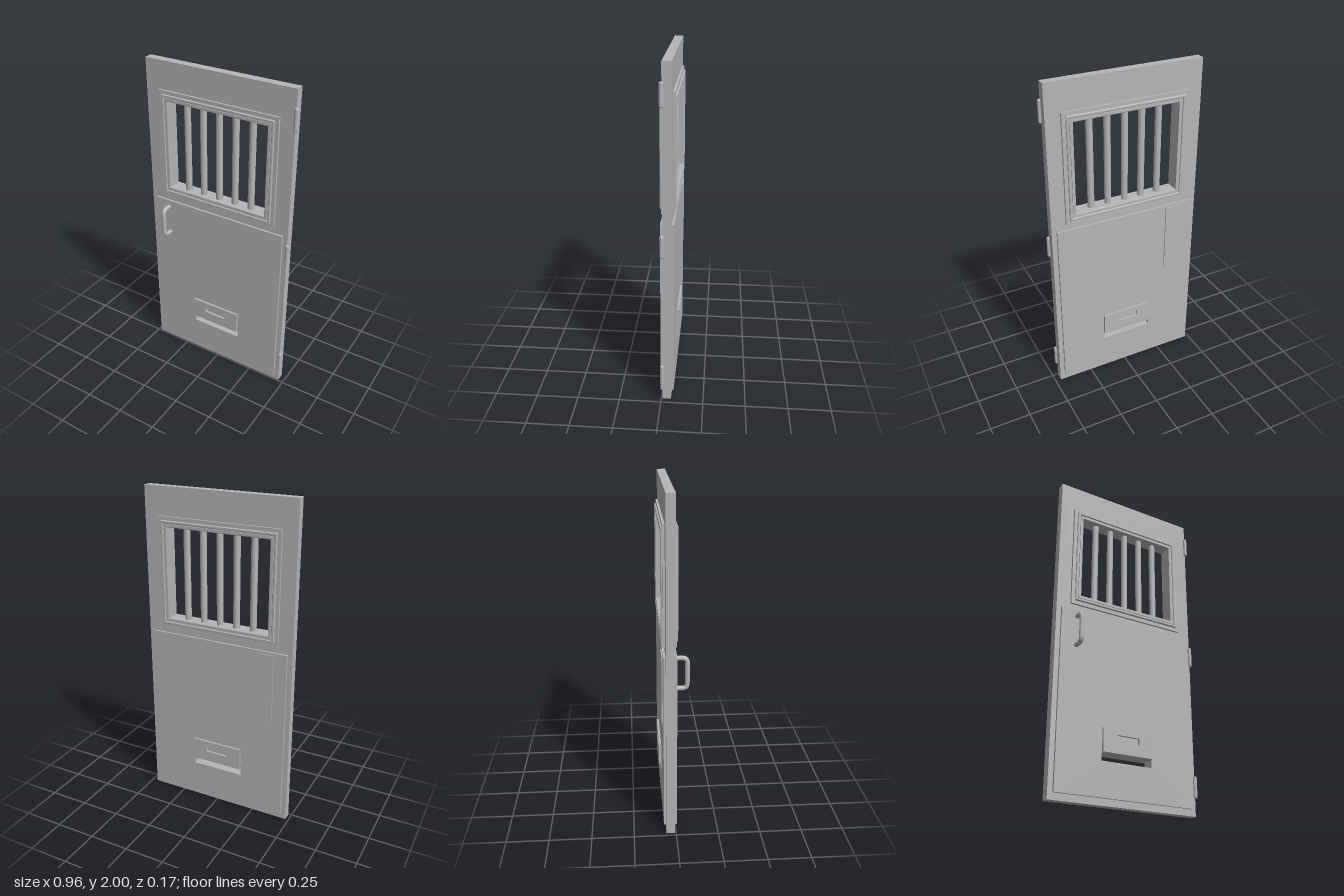
import * as THREE from 'three';

const steel = new THREE.MeshStandardMaterial({ color: 0xb4b5b6 });
steel.name = 'grey steel';

const MID_Z = -0.0325;        // middle of the door's thickness
const HALF = 0.0255;          // half thickness of the door leaf
const PLATE = 0.013;          // thickness of the applied plates
const WINDOW = { x0: -0.331, x1: 0.317, y0: 1.22, y1: 1.772 };
const SLOT = { x0: -0.17, x1: 0.157, y0: 0.242, y1: 0.29 };

function trace(path, { x0, x1, y0, y1 }) {
  path.moveTo(x0, y0);
  path.lineTo(x1, y0);
  path.lineTo(x1, y1);
  path.lineTo(x0, y1);
  path.closePath();
  return path;
}

// Flat plate with cut-outs, running from z0 to z1
function plate(name, rect, holes, z0, z1) {
  const shape = trace(new THREE.Shape(), rect);
  shape.holes.push(...holes);
  const geo = new THREE.ExtrudeGeometry(shape, { depth: z1 - z0, bevelEnabled: false, curveSegments: 6 });
  geo.translate(0, 0, z0);
  return named(name, geo);
}

function named(name, geo) {
  const mesh = new THREE.Mesh(geo, steel);
  mesh.name = name;
  return mesh;
}

const hole = (rect) => trace(new THREE.Path(), rect);

// Mitred rectangular moulding; profile points are [inset from outer edge, z]
function moulding({ x0, x1, y0, y1 }, profile) {
  const pos = [];
  const corners = ([d, z]) => [
    [x0 + d, y0 + d, z], [x1 - d, y0 + d, z], [x1 - d, y1 - d, z], [x0 + d, y1 - d, z],
  ];
  for (let p = 0; p < profile.length - 1; p++) {
    const a = corners(profile[p]);
    const b = corners(profile[p + 1]);
    for (let i = 0; i < 4; i++) {
      const j = (i + 1) % 4;
      pos.push(...a[i], ...a[j], ...b[j], ...a[i], ...b[j], ...b[i]);
    }
  }
  const geo = new THREE.BufferGeometry();
  geo.setAttribute('position', new THREE.Float32BufferAttribute(pos, 3));
  geo.computeVertexNormals();
  return geo;
}

// Rounded finger slot in the hatch
function fingerSlot(x0, x1, y0, y1, r) {
  const p = new THREE.Path();
  p.absarc(x1 - r, y0 + r, r, -Math.PI / 2, 0);
  p.absarc(x1 - r, y1 - r, r, 0, Math.PI / 2);
  p.absarc(x0 + r, y1 - r, r, Math.PI / 2, Math.PI);
  p.absarc(x0 + r, y0 + r, r, Math.PI, Math.PI * 1.5);
  p.closePath();
  return p;
}

// Everything that appears on both faces of the door, for side = 1 (front) or -1 (back)
function facing(side) {
  const group = new THREE.Group();
  group.name = side > 0 ? 'frontFacing' : 'backFacing';
  const span = (base, depth) => {
    const near = MID_Z + side * base;
    const far = MID_Z + side * (base + depth);
    return [Math.min(near, far), Math.max(near, far)];
  };
  group.add(plate('lowerPanel', { x0: -0.45, x1: 0.436, y0: 0.04, y1: 1.12 },
    [hole(SLOT)], ...span(HALF, PLATE)));
  group.add(plate('windowSurround', { x0: -0.392, x1: 0.378, y0: 1.158, y1: 1.832 },
    [hole(WINDOW)], ...span(HALF, PLATE)));
  group.add(plate('hatch', { x0: -0.168, x1: 0.155, y0: 0.29, y1: 0.43 },
    [fingerSlot(-0.078, 0.066, 0.358, 0.397, 0.008)], ...span(HALF + PLATE, 0.0135)));

  // Stepped window moulding with a groove
  const profile = [
    [0, 0.036], [0, 0.043], [0.004, 0.048], [0.013, 0.048], [0.016, 0.045], [0.016, 0.04],
    [0.021, 0.04], [0.021, 0.045], [0.036, 0.045], [0.039, 0.043], [0.039, 0.036],
  ];
  const frame = named('windowMoulding',
    moulding({ x0: -0.363, x1: 0.363, y0: 1.181, y1: 1.811 }, profile));
  frame.position.set(-0.007, 0, MID_Z);
  if (side < 0) frame.rotation.y = Math.PI;
  group.add(frame);
  return group;
}

export function createModel() {
  const model = new THREE.Group();
  model.name = 'barredDoor';

  // Door leaf with window and tray slot cut through
  model.add(plate('doorLeaf', { x0: -0.48, x1: 0.466, y0: 0, y1: 2 },
    [hole(WINDOW), hole(SLOT)], MID_Z - HALF, MID_Z + HALF));
  model.add(facing(1), facing(-1));

  // Solid lintel of the tray slot between the two hatches is the leaf itself; bars fill the window
  for (let i = 0; i < 5; i++) {
    const bar = named('windowBar', new THREE.CylinderGeometry(0.02, 0.02, 0.57, 16));
    bar.position.set(-0.007 + (i - 2) * 0.107, 1.496, MID_Z);
    model.add(bar);
  }

  // Pull handle on the front
  const zOut = 0.069, r = 0.03, top = 1.077, low = 0.893;
  const v = (y, z) => new THREE.Vector3(-0.35, y, z);
  const path = new THREE.CurvePath();
  path.add(new THREE.LineCurve3(v(top, 0), v(top, zOut - r)));
  path.add(new THREE.QuadraticBezierCurve3(v(top, zOut - r), v(top, zOut), v(top - r, zOut)));
  path.add(new THREE.LineCurve3(v(top - r, zOut), v(low + r, zOut)));
  path.add(new THREE.QuadraticBezierCurve3(v(low + r, zOut), v(low, zOut), v(low, zOut - r)));
  path.add(new THREE.LineCurve3(v(low, zOut - r), v(low, 0)));
  model.add(named('pullHandle', new THREE.TubeGeometry(path, 48, 0.014, 14)));

  // Push plate on the back
  model.add(plate('pushPlate', { x0: -0.37, x1: -0.27, y0: 0.68, y1: 1.105 }, [], -0.078, -0.07));

  // Hinge knuckles with chamfered ends
  const knuckle = [[0, -0.065], [0.008, -0.065], [0.012, -0.06], [0.012, 0.06], [0.008, 0.065], [0, 0.065]]
    .map(([x, y]) => new THREE.Vector2(x, y));
  for (const y of [0.17, 1.003, 1.835]) {
    const geo = new THREE.LatheGeometry(knuckle, 12).toNonIndexed();
    geo.computeVertexNormals();
    const hinge = named('hinge', geo);
    hinge.position.set(0.468, y, -0.005);
    model.add(hinge);
  }
  return model;
}
